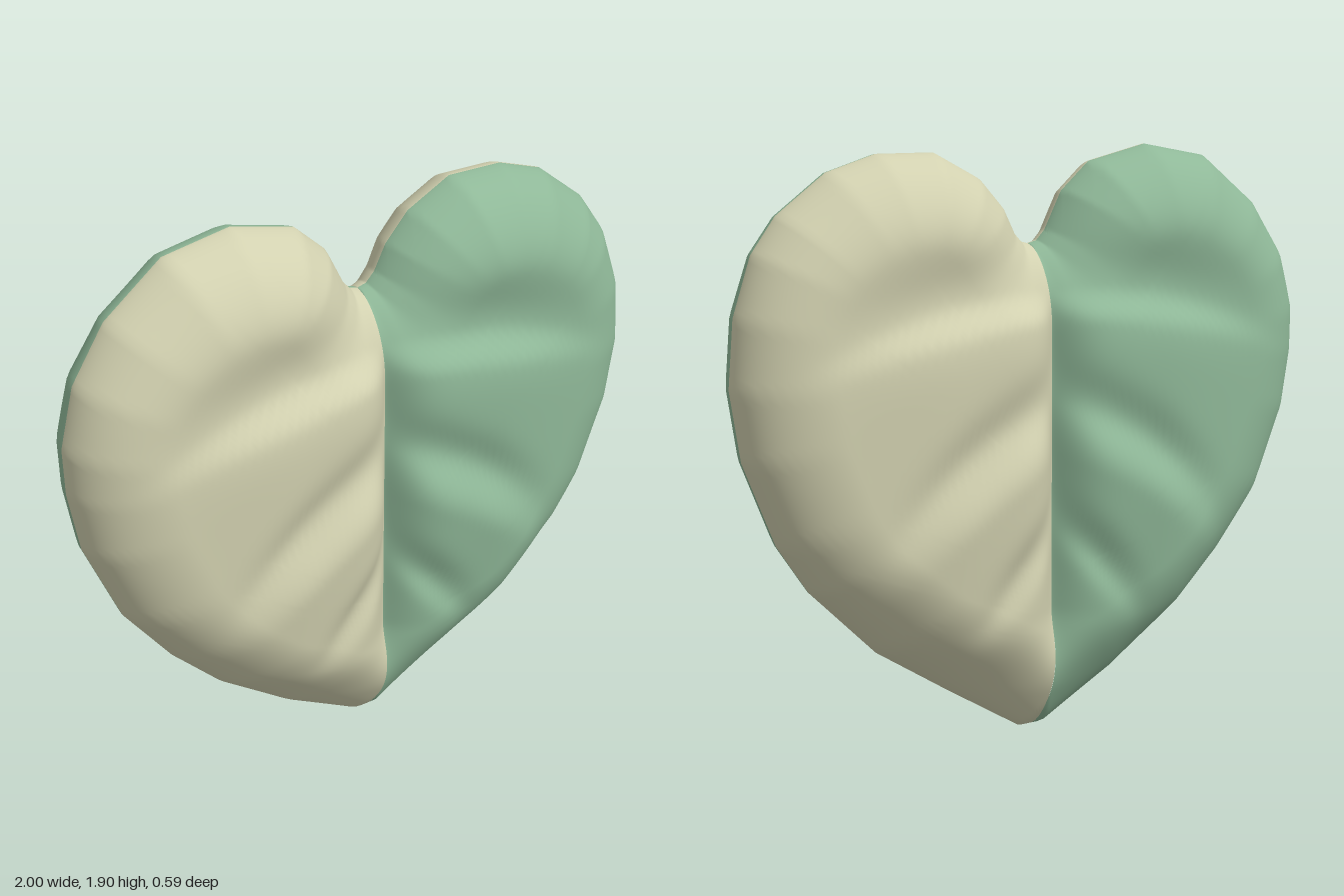
import * as THREE from 'three';

const cream = new THREE.MeshStandardMaterial({ name: 'cream', color: 0xd2d1b0 });
const green = new THREE.MeshStandardMaterial({ name: 'green', color: 0x8fb898 });

// Half outlines from the notch, around the lobe, to the tip (x measured outward)
const outlineLeft = [[0, 1.6], [0.03, 1.608], [0.06, 1.64], [0.1, 1.72], [0.18, 1.81], [0.33, 1.89], [0.52, 1.89],
  [0.68, 1.84], [0.84, 1.72], [0.92, 1.61], [0.98, 1.43], [1, 1.22], [0.97, 1], [0.87, 0.73], [0.77, 0.57],
  [0.55, 0.34], [0.3, 0.17], [0.04, 0], [0, 0]];
const outlineRight = [[0, 1.6], [0.03, 1.608], [0.06, 1.64], [0.12, 1.76], [0.22, 1.85], [0.43, 1.9], [0.65, 1.86],
  [0.84, 1.71], [0.95, 1.54], [1, 1.35], [1, 1.2], [0.97, 1], [0.86, 0.72], [0.71, 0.51], [0.55, 0.34],
  [0.3, 0.15], [0.04, 0], [0, 0]];

const { lerp, clamp, smoothstep } = THREE.MathUtils;

// Shortest distance from a point to the outline
function edgeDistance(x, y, pts) {
  let best = Infinity;
  for (let i = 0; i < pts.length - 1; i++) {
    const [ax, ay] = pts[i], dx = pts[i + 1][0] - ax, dy = pts[i + 1][1] - ay;
    const t = clamp(((x - ax) * dx + (y - ay) * dy) / (dx * dx + dy * dy), 0, 1);
    best = Math.min(best, Math.hypot(x - ax - t * dx, y - ay - t * dy));
  }
  return best;
}

// Folds: vein line y(x), height of the panel below it, softness of its step, its length,
// depth and width of the valley above it, x range of the fade
const folds = [
  { line: x => 1.42 - 0.25 * x * x, rise: 0.05, step: 0.04, length: 1, depth: 0.038, width: 0.13, fade: [0.35, 0.92] },
  { line: x => 1.1 - 0.35 * x - 0.55 * x * x, rise: 0.06, step: 0.15, length: 0.4, depth: 0.03, width: 0.09, fade: [0.32, 0.68] },
  { line: x => 0.69 - x, rise: 0.01, step: 0.06, length: 0.2, depth: 0.035, width: 0.09, fade: [0.12, 0.36] },
];

// Half thickness: puffy body with overlapping folds, a centre groove and a rim that thins at top and tip
function thickness(x, y, pts) {
  const low = 1 - smoothstep(y, 0.2, 0.8), high = smoothstep(y, 1.4, 1.8);
  let h = 0.226 - 0.015 * smoothstep(x, 0.4, 0.9) - 0.022 * low;
  for (const f of folds) {
    const t = f.line(x) - y;
    const panel = f.rise * smoothstep(t, -0.05, f.step) * Math.exp(-Math.max(t, 0) / f.length);
    const valley = f.depth * Math.exp(-(((t + f.width * 0.7) / f.width) ** 2));
    h += (panel - valley) * (1 - smoothstep(x, f.fade[0], f.fade[1]));
  }
  h = lerp(h, 0.155, Math.exp(-((x / 0.07) ** 1.2)) * smoothstep(y, 0.15, 0.45));
  h *= lerp(0.8, 1, smoothstep(y, 0.05, 0.4));
  const d = Math.min(edgeDistance(x, y, pts) / (0.26 + 0.08 * low + 0.04 * high), 1);
  return h * (1 - (1 - d) ** 2) ** (0.52 + 0.13 * low + 0.09 * high);
}

// One quarter of the leaf, spanned between the midline and the outline
function quarter(name, pts, sx, sz, material) {
  const perSegment = 9, cols = 60;
  const rim = [];
  for (let i = 0; i < pts.length - 1; i++) {
    for (let k = 0; k < perSegment; k++) {
      const t = k / perSegment;
      rim.push([lerp(pts[i][0], pts[i + 1][0], t), lerp(pts[i][1], pts[i + 1][1], t)]);
    }
  }
  rim.push(pts[pts.length - 1]);
  const lengths = [0];
  for (let i = 1; i < rim.length; i++) {
    lengths.push(lengths[i - 1] + Math.hypot(rim[i][0] - rim[i - 1][0], rim[i][1] - rim[i - 1][1]));
  }
  const total = lengths[lengths.length - 1];

  const positions = [], indices = [];
  rim.forEach(([ox, oy], i) => {
    const my = 1.6 * (1 - (lengths[i] / total) ** 0.7);
    for (let j = 0; j <= cols; j++) {
      const t = j / cols, v = t * t * (3 - 2 * t);
      const x = ox * v, y = lerp(my, oy, v);
      positions.push(sx * x, y, j === cols ? 0 : sz * thickness(x, y, pts));
      if (i > 0 && j > 0) {
        const a = (i - 1) * (cols + 1) + j - 1, b = a + 1, c = a + cols + 1, e = c + 1;
        if (sx * sz > 0) indices.push(a, c, b, b, c, e);
        else indices.push(a, b, c, b, e, c);
      }
    }
  });
  const geometry = new THREE.BufferGeometry();
  geometry.setAttribute('position', new THREE.Float32BufferAttribute(positions, 3));
  geometry.setIndex(indices);
  geometry.computeVertexNormals();

  // Turn rim normals sideways so front and back blend
  const n = geometry.attributes.normal, dir = new THREE.Vector3();
  for (let i = 1; i < rim.length - 1; i++) {
    const k = i * (cols + 1) + cols;
    dir.set(n.getX(k), n.getY(k), 0).normalize();
    n.setXYZ(k, dir.x, dir.y, 0);
  }
  const mesh = new THREE.Mesh(geometry, material);
  mesh.name = name;
  return mesh;
}

export function createModel() {
  const leaf = new THREE.Group();
  leaf.name = 'heartLeaf';
  leaf.add(
    quarter('frontLeftLobe', outlineLeft, 1, 1, green),
    quarter('frontRightLobe', outlineRight, -1, 1, cream),
    quarter('backLeftLobe', outlineLeft, 1, -1, cream),
    quarter('backRightLobe', outlineRight, -1, -1, green),
  );
  return leaf;
}
